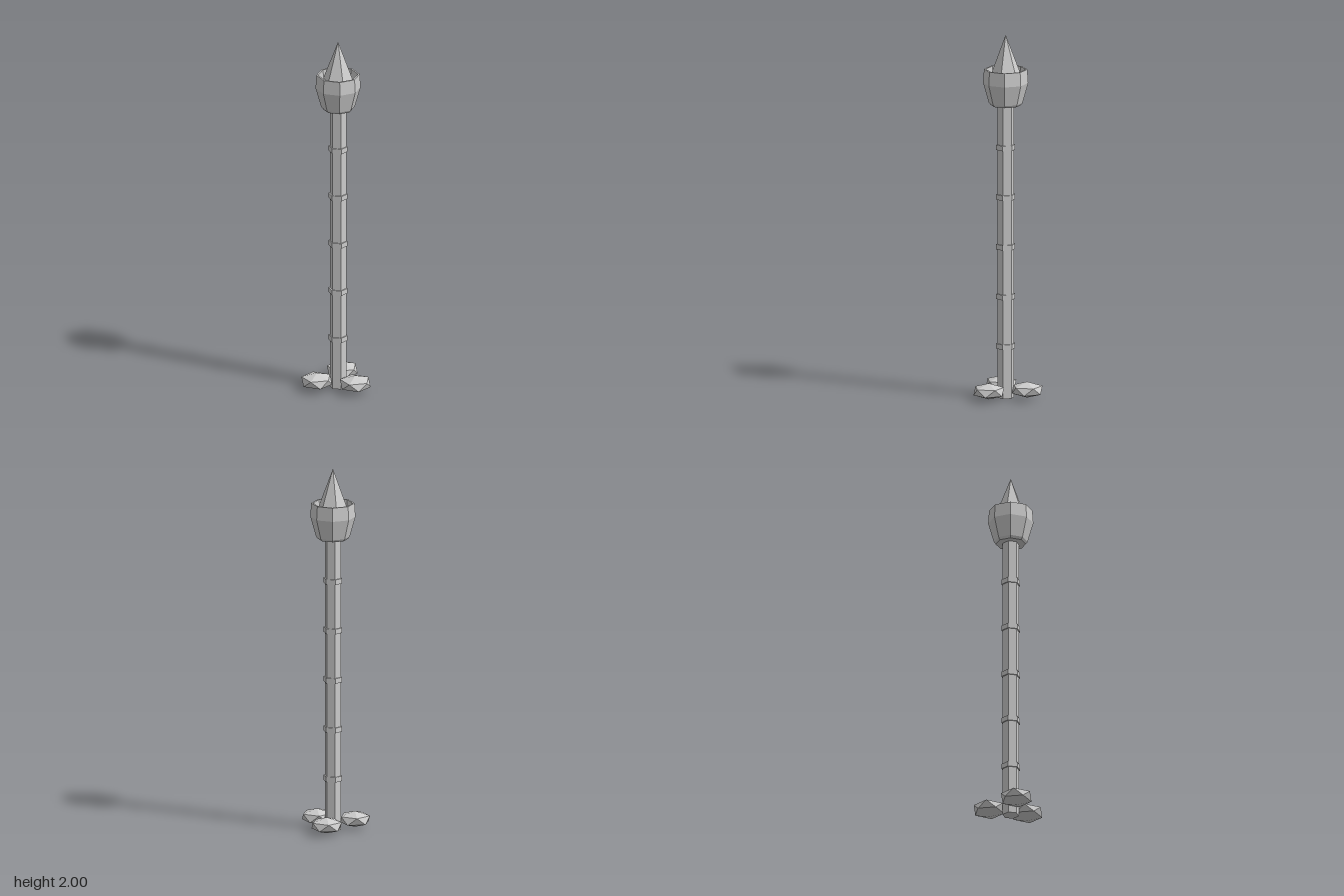
import * as THREE from 'three';
import { ConvexGeometry } from 'three/addons/geometries/ConvexGeometry.js';

const AXIS_X = -0.03; // the column stands slightly off the centre of the footprint

export function createModel() {
  const model = new THREE.Group();
  model.name = 'spireTower';
  const stone = new THREE.MeshStandardMaterial({ color: 0xcccccc });
  stone.name = 'paleStone';

  const add = (name, geometry, x, y, z = 0) => {
    const flat = geometry.index ? geometry.toNonIndexed() : geometry;
    flat.computeVertexNormals(); // flat facets
    const mesh = new THREE.Mesh(flat, stone);
    mesh.name = name;
    mesh.position.set(x, y, z);
    model.add(mesh);
    return mesh;
  };

  // Hexagonal column with five evenly spaced bands
  add('column', new THREE.CylinderGeometry(0.045, 0.045, 1.64, 6), AXIS_X, 0.82);
  for (let i = 0; i < 5; i++) {
    add('columnBand', new THREE.CylinderGeometry(0.052, 0.052, 0.028, 6), AXIS_X, 0.285 + i * 0.274);
  }

  // Eight-sided open cup: underside, outer wall, rim, inner wall
  const cupProfile = [
    [0, 1.612], [0.081, 1.612], [0.091, 1.625], [0.122, 1.735],
    [0.117, 1.81], [0.107, 1.81], [0.101, 1.735], [0.085, 1.665], [0, 1.66],
  ].map(([r, y]) => new THREE.Vector2(r, y));
  add('cup', new THREE.LatheGeometry(cupProfile, 8), AXIS_X, 0);

  // Ball held in the cup, topped by a pointed spire
  add('cupBall', new THREE.SphereGeometry(0.098, 10, 6), AXIS_X, 1.705);
  add('spire', new THREE.ConeGeometry(0.081, 0.215, 6), AXIS_X, 1.8925);

  // Three squashed, twenty-faced boulders around the base
  const points = [new THREE.Vector3(0, 0.044, 0), new THREE.Vector3(0, -0.044, 0)];
  for (let i = 0; i < 10; i++) {
    const a = (i * Math.PI) / 5;
    const y = i % 2 ? -0.0197 : 0.0197;
    points.push(new THREE.Vector3(0.083 * Math.cos(a), y, 0.083 * Math.sin(a)));
  }
  for (let i = 0; i < 3; i++) {
    const a = (i * Math.PI * 2) / 3;
    add('baseBoulder', new ConvexGeometry(points), AXIS_X + 0.122 * Math.cos(a), 0.051, 0.122 * Math.sin(a));
  }

  return model;
}
